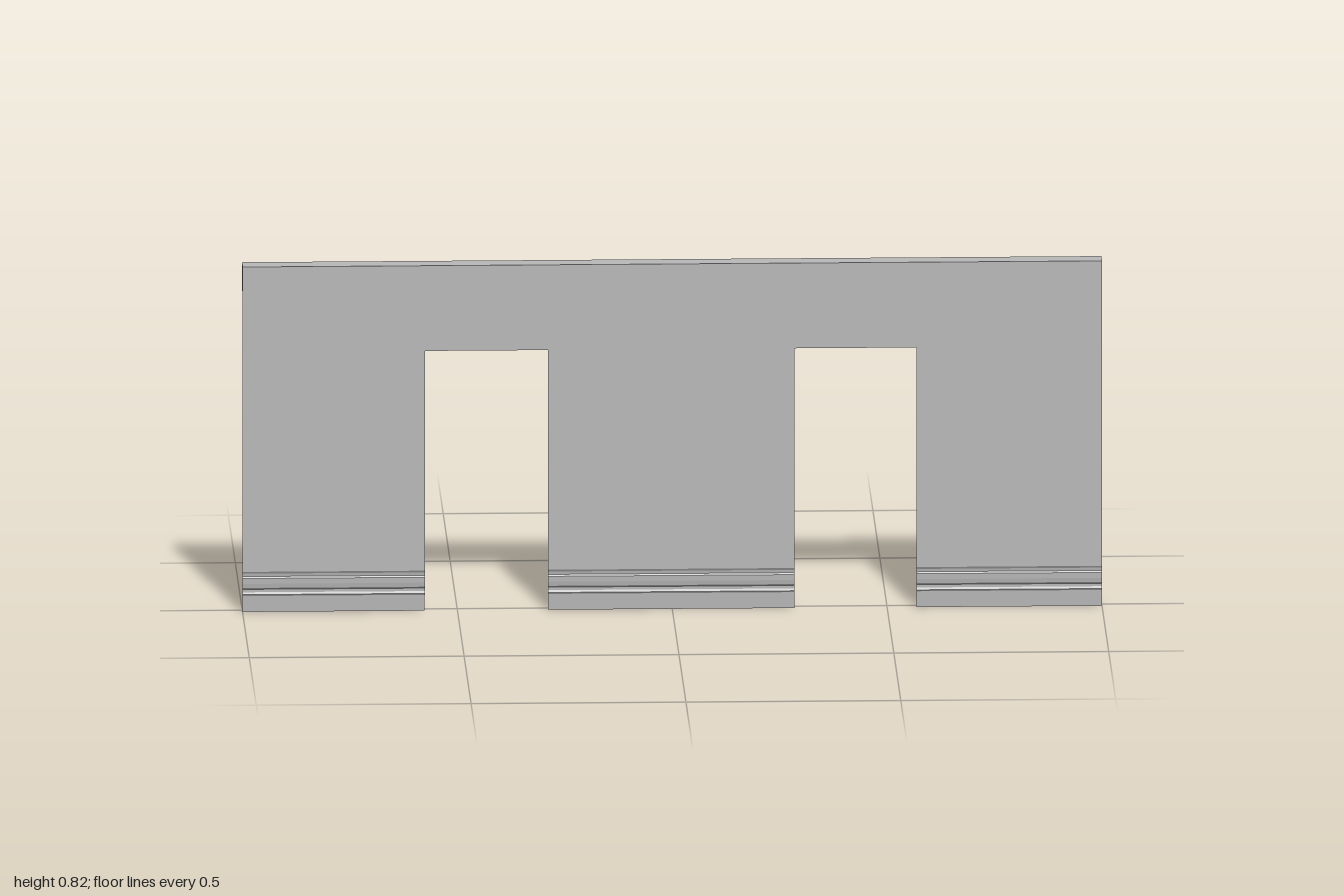
import * as THREE from 'three';

const FRONT = 0.0255; // z of the wall sheet
const TOP = 0.824;
const DOOR_TOP = 0.621;
const SKIRT_TOP = 0.097;

// x ranges of the doorways and of the wall piers between them
const doors = [[-0.576, -0.289], [0.284, 0.568]];
const piers = [[-1, -0.576], [-0.289, 0.284], [0.568, 1]];

// Skirting profile, top to bottom: [y, depth towards the back]
const skirtProfile = [
  [SKIRT_TOP, 0], [0.092, 0.003], [0.085, 0.004], [0.081, 0.001], [0.068, 0.0015],
  [0.058, 0.003], [0.054, 0.006], [0.047, 0.006], [0.042, 0.0035], [0.038, 0.006], [0, 0.0075],
];

// Cornice profile on the back: [z, y]
const corniceProfile = [
  [FRONT - 0.0008, TOP], [FRONT - 0.0008, 0.761], [-0.0105, 0.761], [-0.0105, 0.786],
  [-0.0145, 0.788], [-0.017, 0.792], [-0.0155, 0.796], [-0.0125, 0.798],
  [-0.0125, 0.802], [-0.014, 0.808], [-0.018, 0.813], [-0.023, 0.815],
  [-0.0255, 0.818], [-0.0255, TOP],
];

function polygon(points) {
  return new THREE.Shape(points.map(([x, y]) => new THREE.Vector2(x, y)));
}

// Moulded sheet running along x between two ends
function skirtingGeometry([x0, x1]) {
  const plane = new THREE.PlaneGeometry(x1 - x0, 1, 1, skirtProfile.length - 1);
  const pos = plane.attributes.position;
  for (let i = 0; i < pos.count; i++) {
    const [y, depth] = skirtProfile[Math.floor(i / 2)];
    pos.setXYZ(i, i % 2 ? x1 : x0, y, FRONT - depth);
  }
  const geometry = plane.toNonIndexed();
  geometry.computeVertexNormals();
  return geometry;
}

export function createModel() {
  const model = new THREE.Group();
  model.name = 'wallWithDoorways';
  const plaster = new THREE.MeshStandardMaterial({ color: 0xb8b8b8, side: THREE.DoubleSide });
  plaster.name = 'grey plaster';

  const add = (name, geometry) => {
    const mesh = new THREE.Mesh(geometry, plaster);
    mesh.name = name;
    model.add(mesh);
    return mesh;
  };

  // Thin wall sheet, notched by the doorways
  const outline = [[-1, SKIRT_TOP]];
  for (const [a, b] of doors) {
    outline.push([a, SKIRT_TOP], [a, DOOR_TOP], [b, DOOR_TOP], [b, SKIRT_TOP]);
  }
  outline.push([1, SKIRT_TOP], [1, TOP], [-1, TOP]);
  add('wall', new THREE.ShapeGeometry(polygon(outline))).position.z = FRONT;

  // Skirting under each pier
  const skirting = ['rightSkirting', 'middleSkirting', 'leftSkirting'];
  piers.forEach((pier, i) => add(skirting[i], skirtingGeometry(pier)));

  // Solid cornice along the top of the back
  const cornice = new THREE.ExtrudeGeometry(polygon(corniceProfile), { depth: 2, bevelEnabled: false });
  cornice.rotateY(-Math.PI / 2);
  cornice.translate(1, 0, 0);
  add('cornice', cornice);

  return model;
}
